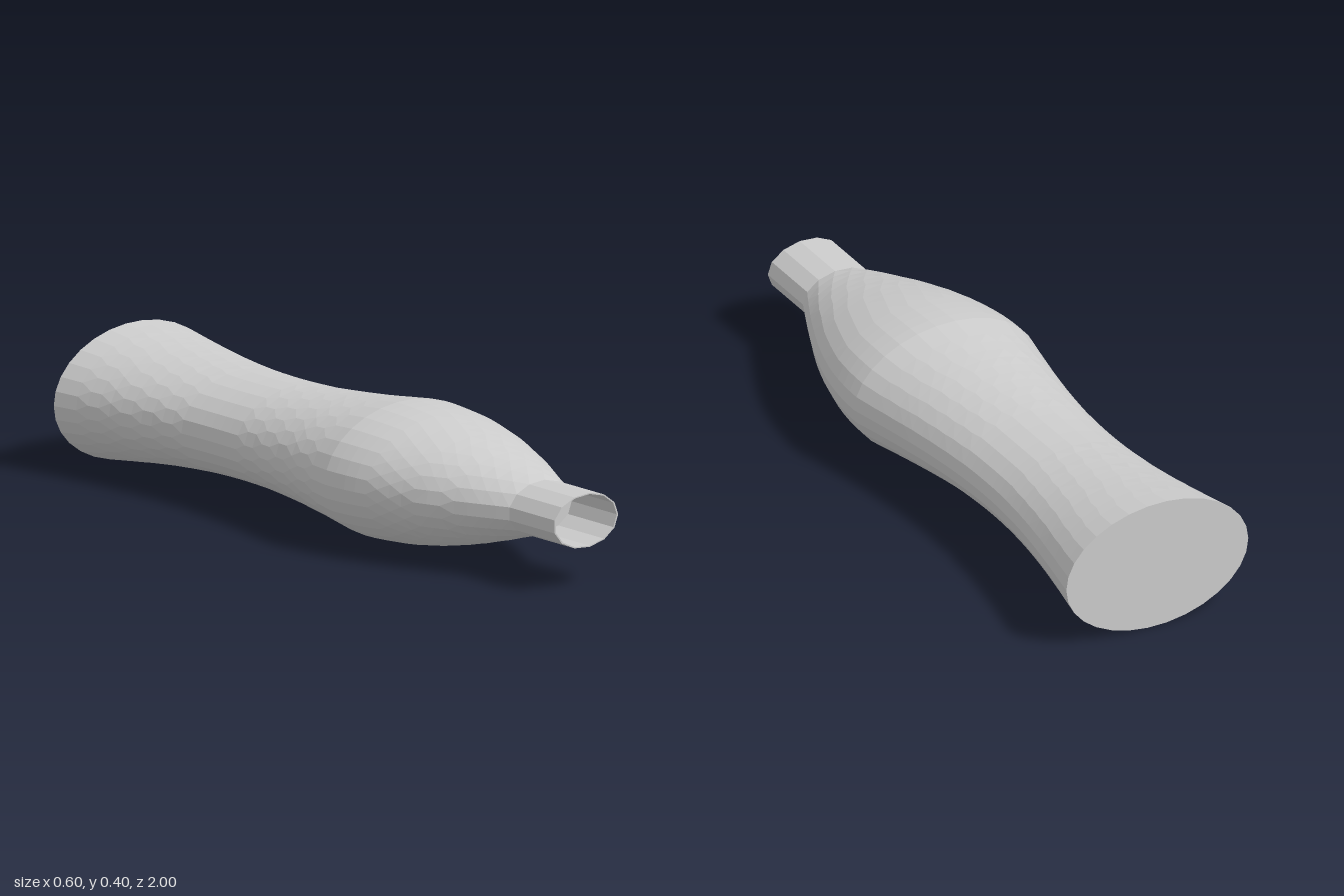
import * as THREE from 'three';

const WIDEN = 1.5;   // ellipse width over height
const MID_Y = 0.2;   // height of the long axis

const material = new THREE.MeshStandardMaterial({ color: 0xcccccc, flatShading: true });

// Wider rings get more sides, up to 30
const sidesFor = (r) => Math.min(30, Math.ceil((2 * Math.PI * r) / 0.04 - 1e-6));

function ring(r, z, n = sidesFor(r)) {
  return Array.from({ length: n }, (_, i) => {
    const a = (i / n) * Math.PI * 2;
    return [WIDEN * r * Math.cos(a), MID_Y + r * Math.sin(a), z];
  });
}

// Skin neighbouring rings, which may differ in number of sides
function loft(rings) {
  const pos = [];
  for (let k = 0; k < rings.length - 1; k++) {
    const a = rings[k], b = rings[k + 1];
    let i = 0, j = 0;
    while (i < a.length || j < b.length) {
      const p = a[i % a.length], q = b[j % b.length];
      const stepA = j >= b.length || (i < a.length && (i + 1) / a.length <= (j + 1) / b.length);
      if (stepA) {
        i++;
        pos.push(...p, ...a[i % a.length], ...q);
      } else {
        j++;
        pos.push(...p, ...b[j % b.length], ...q);
      }
    }
  }
  const g = new THREE.BufferGeometry();
  g.setAttribute('position', new THREE.Float32BufferAttribute(pos, 3));
  g.computeVertexNormals();
  return g;
}

// Rings of radius radiusAt(t) between two depths
function section(z0, z1, steps, radiusAt) {
  return loft(Array.from({ length: steps + 1 }, (_, i) => {
    const t = i / steps;
    return ring(radiusAt(t), z0 + (z1 - z0) * t);
  }));
}

function ellipseDisc(r, z, n, facing) {
  const g = new THREE.CircleGeometry(r, n);
  g.scale(WIDEN, 1, 1);
  if (facing < 0) g.rotateY(Math.PI);
  g.translate(0, MID_Y, z);
  return g;
}

export function createModel() {
  const model = new THREE.Group();
  model.name = 'handle';
  const add = (name, geometry) => {
    const mesh = new THREE.Mesh(geometry, material);
    mesh.name = name;
    model.add(mesh);
  };

  // Waisted grip and its flat end
  add('grip', section(-1, 0.2, 30, (t) => 0.2 - 0.05 * Math.sin(Math.PI * t)));
  add('endCap', ellipseDisc(0.2, -1, 30, -1));

  // Rounded shoulder narrowing to the neck
  add('shoulder', section(0.2, 0.8, 15, (t) => 0.08 + 0.12 * Math.cos((Math.PI / 2) * t)));

  // Thin-walled socket: outside, rim, inside and floor
  add('neck', loft([
    ring(0.08, 0.8, 13), ring(0.08, 1, 13),
    ring(0.0765, 1, 13), ring(0.0765, 0.8, 13),
  ]));
  add('neckFloor', ellipseDisc(0.0765, 0.8, 13, 1));

  return model;
}
